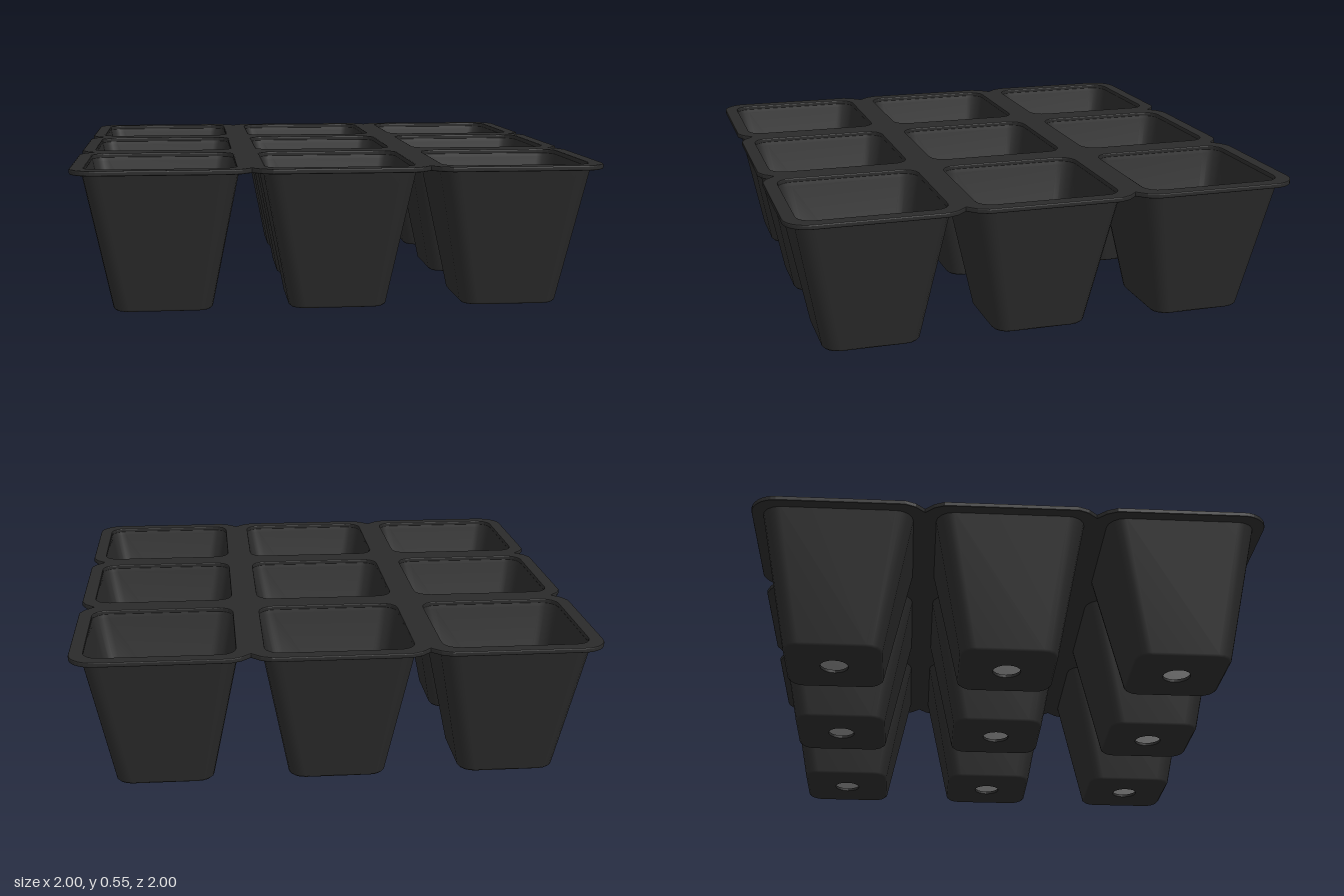
import * as THREE from 'three';
import { mergeGeometries } from 'three/addons/utils/BufferGeometryUtils.js';

const PITCH = 2 / 3, RIM_BOTTOM = 0.533, RIM_TOP = 0.553;

// Points of a rounded square, ordered from +x towards the second axis
function ring(half, radius, steps = 4) {
  const pts = [];
  for (let q = 0; q < 4; q++) {
    const mid = (q + 0.5) * Math.PI / 2;
    const cx = Math.sign(Math.cos(mid)) * (half - radius);
    const cy = Math.sign(Math.sin(mid)) * (half - radius);
    for (let i = 0; i <= steps; i++) {
      const a = (q + i / steps) * Math.PI / 2;
      pts.push(new THREE.Vector2(cx + radius * Math.cos(a), cy + radius * Math.sin(a)));
    }
  }
  return pts;
}

// Smooth skin through a list of [half width, corner radius, height] rings
function loft(sections) {
  const pos = [], index = [];
  let n = 0;
  for (const [half, radius, y] of sections) {
    const pts = ring(half, radius);
    n = pts.length;
    pts.forEach(p => pos.push(p.x, y, p.y));
  }
  for (let s = 0; s < sections.length - 1; s++) {
    for (let i = 0; i < n; i++) {
      const a = s * n + i, b = s * n + (i + 1) % n;
      index.push(a, b, a + n, b, b + n, a + n);
    }
  }
  const g = new THREE.BufferGeometry();
  g.setAttribute('position', new THREE.Float32BufferAttribute(pos, 3));
  g.setIndex(index);
  g.computeVertexNormals();
  return g;
}

// Tapered pot with a drain hole: outer skin, hole wall, inner skin
function potGeometry() {
  return mergeGeometries([
    loft([[0.29, 0.07, RIM_BOTTOM + 0.005], [0.188, 0.06, 0.008], [0.18, 0.055, 0], [0.055, 0.054, 0]]),
    loft([[0.055, 0.054, 0], [0.055, 0.054, 0.012]]),
    loft([[0.055, 0.054, 0.012], [0.172, 0.05, 0.012], [0.277, 0.06, RIM_BOTTOM - 0.01], [0.284, 0.065, RIM_TOP - 0.004]]),
  ]);
}

// Scalloped plate with one opening per pot
function rimGeometry(cells) {
  const side = [];
  for (let i = 0; i <= 4; i++) {
    const a = (i / 4) * Math.PI / 4;
    side.push([0.9 + 0.1 * Math.cos(Math.PI / 4 + a), 0.9 + 0.1 * Math.sin(Math.PI / 4 + a)]);
  }
  for (const c of [PITCH / 2, -PITCH / 2]) {
    side.push([c + 0.075, 1], [c + 0.035, 0.982], [c, 0.947], [c - 0.035, 0.982], [c - 0.075, 1]);
  }
  for (let i = 0; i < 4; i++) {
    const a = Math.PI / 2 + (i / 4) * Math.PI / 4;
    side.push([-0.9 + 0.1 * Math.cos(a), 0.9 + 0.1 * Math.sin(a)]);
  }
  const outline = [];
  for (let q = 0; q < 4; q++) {
    const c = Math.round(Math.cos(q * Math.PI / 2)), s = Math.round(Math.sin(q * Math.PI / 2));
    side.forEach(([x, y]) => outline.push(new THREE.Vector2(x * c - y * s, x * s + y * c)));
  }
  const shape = new THREE.Shape(outline);
  for (const [x, z] of cells) {
    const hole = ring(0.28, 0.062).map(p => new THREE.Vector2(p.x + x, p.y - z));
    shape.holes.push(new THREE.Path(hole.reverse()));
  }
  const bevel = 0.005;
  const g = new THREE.ExtrudeGeometry(shape, {
    depth: RIM_TOP - RIM_BOTTOM - 2 * bevel,
    bevelEnabled: true, bevelThickness: bevel, bevelSize: bevel, bevelOffset: -bevel, bevelSegments: 2,
  });
  return g.rotateX(-Math.PI / 2).translate(0, RIM_BOTTOM + bevel, 0);
}

export function createModel() {
  const tray = new THREE.Group();
  tray.name = 'seedlingTray';
  const plastic = new THREE.MeshStandardMaterial({ color: 0x2a2a2a });
  plastic.name = 'blackPlastic';

  const cells = [];
  for (const i of [-1, 0, 1]) for (const j of [-1, 0, 1]) cells.push([i * PITCH, j * PITCH]);

  // Pots
  const potShape = potGeometry();
  cells.forEach(([x, z], i) => {
    const pot = new THREE.Mesh(potShape, plastic);
    pot.name = `pot${i + 1}`;
    pot.position.set(x, 0, z);
    tray.add(pot);
  });

  // Rim joining the pots
  const rim = new THREE.Mesh(rimGeometry(cells), plastic);
  rim.name = 'rim';
  tray.add(rim);
  return tray;
}
